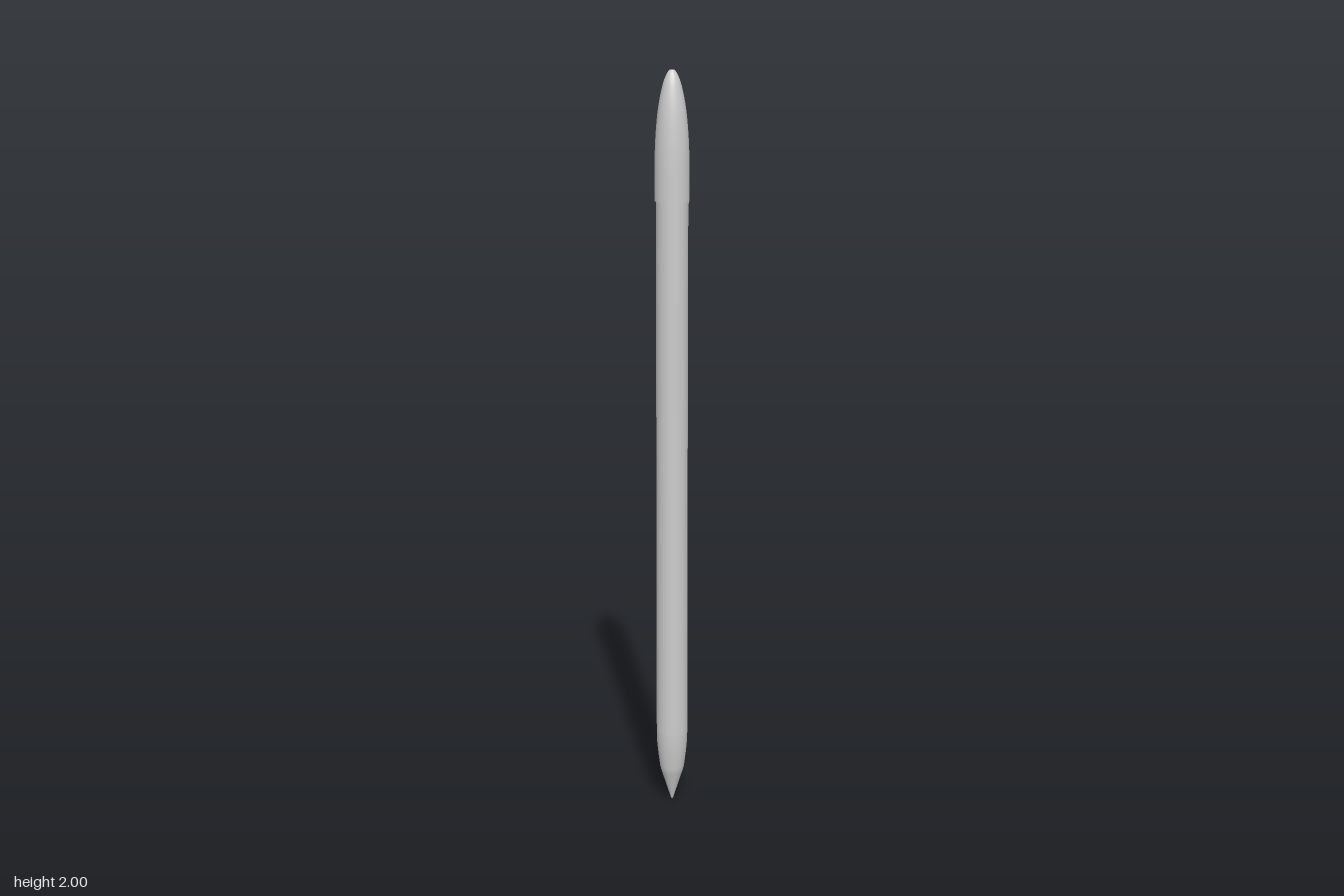
import * as THREE from 'three';

const AXIS_X = -0.004; // the clip on +x pushes the barrel slightly off centre

export function createModel() {
  const group = new THREE.Group();
  const material = new THREE.MeshStandardMaterial({ color: 0xcccccc, side: THREE.DoubleSide });

  function add(name, geometry) {
    const mesh = new THREE.Mesh(geometry, material);
    mesh.name = name;
    mesh.position.x = AXIS_X;
    group.add(mesh);
  }
  function lathe(name, profile) {
    add(name, new THREE.LatheGeometry(profile.map(([r, y]) => new THREE.Vector2(r, y)), 48));
  }

  // Writing point, tapered grip and long barrel
  lathe('tip', [[0, 0], [0.003, 0.004], [0.029, 0.085]]);
  lathe('grip', [[0.029, 0.085], [0.033, 0.1], [0.038, 0.14], [0.041, 0.17], [0.042, 0.2]]);
  lathe('barrel', [[0.042, 0.2], [0.042, 1.68]]);

  // Rounded cap, its lower rim stepping in to the barrel
  lathe('capRim', [[0.041, 1.66], [0.0455, 1.66]]);
  const curve = new THREE.SplineCurve([
    [0.0455, 1.66], [0.0455, 1.76], [0.043, 1.83], [0.0365, 1.9],
    [0.026, 1.955], [0.016, 1.985], [0.007, 1.999],
  ].map(([r, y]) => new THREE.Vector2(r, y)));
  lathe('cap', curve.getPoints(32).map((p) => [p.x, p.y]));
  lathe('capTop', [[0.007, 1.999], [0, 2]]);

  // Tapered clip: flared cross-sections [y, outer x, half width], fading into the cap
  const sections = [
    [1.45, 0.052, 0.008], [1.55, 0.053, 0.011], [1.66, 0.053, 0.014], [1.7, 0.05, 0.014], [1.76, 0.04, 0.012],
  ];
  const positions = [];
  const index = [];
  const n = 8;
  for (const [y, outer, w] of sections) {
    const outline = [
      [0.036, w + 0.008], [0.043, w + 0.002], [outer - 0.003, w], [outer, w * 0.6],
      [outer, -w * 0.6], [outer - 0.003, -w], [0.043, -w - 0.002], [0.036, -w - 0.008],
    ];
    for (const [x, z] of outline) positions.push(Math.min(x, outer), y, z);
  }
  for (let s = 0; s < sections.length - 1; s++) {
    for (let i = 0; i < n; i++) {
      const a = s * n + i, b = s * n + (i + 1) % n;
      index.push(a, a + n, b, b, a + n, b + n);
    }
  }
  const last = (sections.length - 1) * n;
  for (let i = 1; i < n - 1; i++) {
    index.push(0, i, i + 1, last, last + i + 1, last + i);
  }
  const clip = new THREE.BufferGeometry();
  clip.setAttribute('position', new THREE.Float32BufferAttribute(positions, 3));
  clip.setIndex(index);
  const flat = clip.toNonIndexed();
  flat.computeVertexNormals();
  add('clip', flat);

  return group;
}
